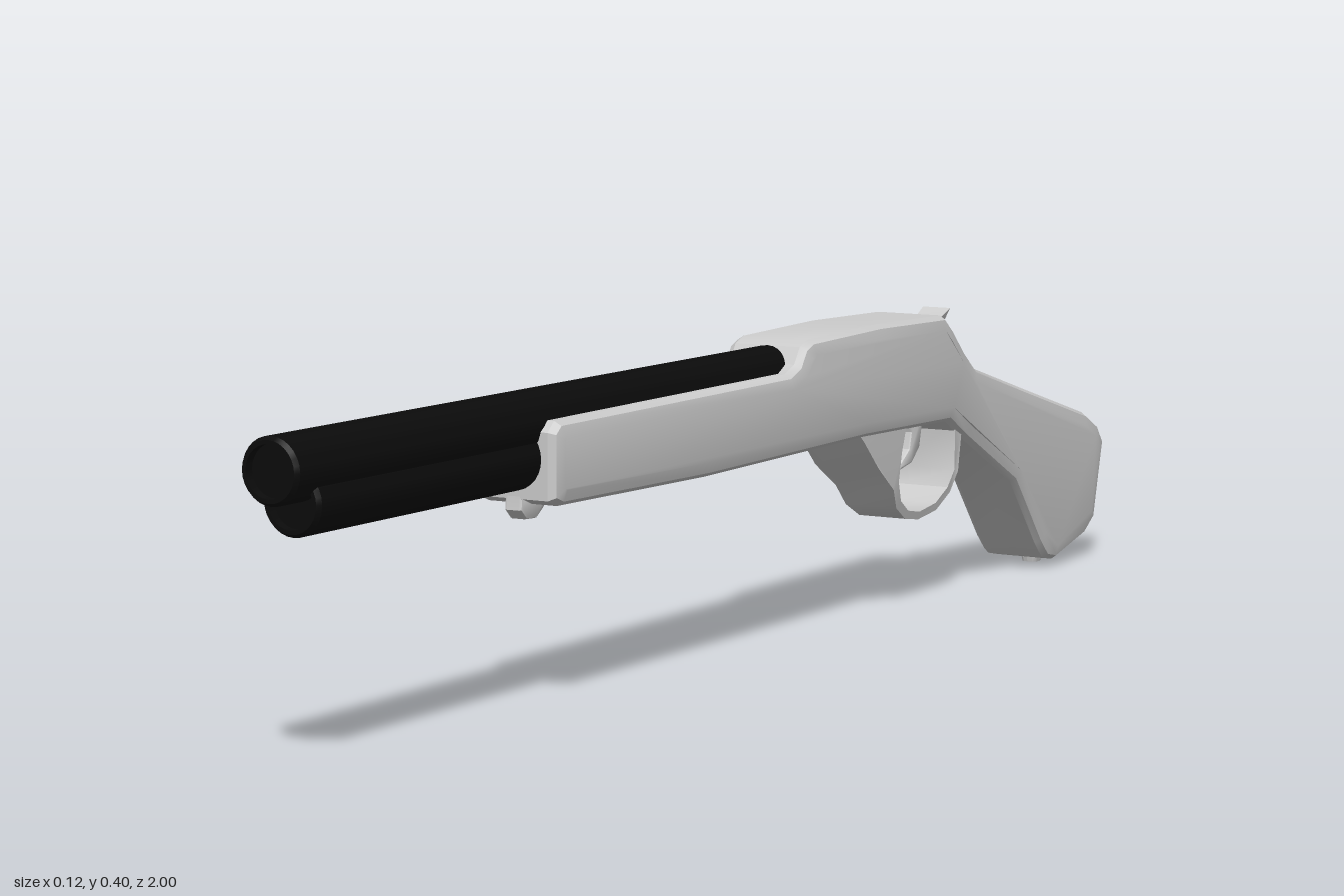
import * as THREE from 'three';
import { toCreasedNormals } from 'three/addons/utils/BufferGeometryUtils.js';

const grey = new THREE.MeshStandardMaterial({ color: 0xcccccc });
const black = new THREE.MeshStandardMaterial({ color: 0x0b0b0b });

const lerp = THREE.MathUtils.lerp;

// Side profile given as [z, y] points, extruded across x to the given half width.
function sideExtrude(points, halfWidth, bevelX = 0, bevelSize = 0, widthRule = null) {
  const shape = new THREE.Shape(points.map(([z, y]) => new THREE.Vector2(z, y)));
  const depth = 2 * (halfWidth - bevelX);
  const geo = new THREE.ExtrudeGeometry(shape, {
    depth,
    bevelEnabled: bevelX > 0,
    bevelThickness: bevelX,
    bevelSize,
    bevelOffset: -bevelSize,
    bevelSegments: 2,
  });
  geo.translate(0, 0, -depth / 2);
  geo.rotateY(-Math.PI / 2);
  if (widthRule) {
    const p = geo.attributes.position;
    for (let i = 0; i < p.count; i++) p.setX(i, p.getX(i) * widthRule(p.getY(i), p.getZ(i)));
  }
  return toCreasedNormals(geo, 0.5);
}

function part(name, geometry, material = grey) {
  const mesh = new THREE.Mesh(geometry, material);
  mesh.name = name;
  return mesh;
}

// Barrel tube with a shallow recessed muzzle, running along z.
function barrel(name, y, zBack, zFront) {
  const r = 0.04;
  const len = zFront - zBack;
  const profile = [
    [0, 0], [r, 0], [r, len - 0.006], [r - 0.004, len],
    [r - 0.009, len], [r - 0.009, len - 0.012], [0, len - 0.012],
  ].map(([x, h]) => new THREE.Vector2(x, h));
  const geo = new THREE.LatheGeometry(profile, 28);
  geo.rotateX(Math.PI / 2);
  geo.translate(0, y, zBack);
  return part(name, toCreasedNormals(geo, 0.5), black);
}

export function createModel() {
  const model = new THREE.Group();
  model.name = 'shortGun';

  // One-piece fore-end, receiver and grip; the grip is slightly slimmer
  const body = [
    [0.51, 0.262], [0.51, 0.345], [0.495, 0.358], [-0.055, 0.36],
    [-0.08, 0.37], [-0.095, 0.392], [-0.115, 0.4], [-0.3, 0.404], [-0.485, 0.4],
    [-0.51, 0.38], [-0.55, 0.345], [-0.59, 0.316], [-0.75, 0.27], [-0.94, 0.216],
    [-0.98, 0.195], [-1.0, 0.168], [-0.972, 0.055], [-0.94, 0.033],
    [-0.845, 0.009], [-0.815, 0.015], [-0.79, 0.04], [-0.71, 0.14],
    [-0.556, 0.22], [-0.5, 0.25], [-0.26, 0.254], [0.15, 0.249], [0.49, 0.254],
  ].reverse();
  const slim = (y, z) => lerp(1, 0.9, THREE.MathUtils.smoothstep(-z, 0.49, 0.6));
  model.add(part('body', sideExtrude(body, 0.062, 0.013, 0.02, slim)));

  // Over-and-under tubes
  model.add(barrel('upperBarrel', 0.352, -0.12, 1.0));
  model.add(barrel('lowerBarrel', 0.312, 0.3, 0.96));

  // Broad trigger guard with a wedge-shaped front web, narrowing downward
  const guard = [
    [-0.25, 0.262], [-0.27, 0.245], [-0.31, 0.205], [-0.36, 0.17], [-0.378, 0.142],
    [-0.41, 0.123], [-0.45, 0.117], [-0.5, 0.124], [-0.533, 0.146],
    [-0.546, 0.175], [-0.55, 0.235], [-0.53, 0.245], [-0.534, 0.178],
    [-0.523, 0.154], [-0.495, 0.135], [-0.45, 0.128], [-0.415, 0.134],
    [-0.388, 0.151], [-0.371, 0.18], [-0.375, 0.22], [-0.39, 0.262],
  ].reverse();
  const taper = (y) => THREE.MathUtils.clamp(0.7 + (y - 0.117) * 4, 0.7, 1);
  model.add(part('triggerGuard', sideExtrude(guard, 0.05, 0, 0, taper)));

  // Curved trigger
  const trigger = [
    [-0.465, 0.265], [-0.474, 0.235], [-0.468, 0.212], [-0.44, 0.192],
    [-0.438, 0.185], [-0.475, 0.192], [-0.497, 0.212], [-0.51, 0.265],
  ];
  model.add(part('trigger', sideExtrude(trigger.reverse(), 0.012, 0.003, 0.003)));

  // Hammer with a swept-back spur, flanked by low cheeks
  const hammer = [
    [-0.49, 0.36], [-0.508, 0.382], [-0.525, 0.386], [-0.545, 0.392], [-0.566, 0.402],
    [-0.558, 0.388], [-0.548, 0.37], [-0.556, 0.355], [-0.565, 0.32], [-0.51, 0.32],
  ];
  const spurWidth = (y) => lerp(0.75, 1.35, THREE.MathUtils.smoothstep(y, 0.37, 0.4));
  model.add(part('hammer', sideExtrude(hammer, 0.016, 0, 0, spurWidth)));
  const cheek = [[-0.5, 0.37], [-0.512, 0.385], [-0.565, 0.36], [-0.595, 0.318], [-0.56, 0.31]];
  for (const side of [-1, 1]) {
    const mesh = part(side > 0 ? 'leftHammerCheek' : 'rightHammerCheek', sideExtrude(cheek, 0.005));
    mesh.position.x = side * 0.026;
    model.add(mesh);
  }

  // Small lug under the fore-end tip
  const lug = [
    [0.51, 0.265], [0.512, 0.248], [0.5, 0.236], [0.478, 0.235], [0.462, 0.246], [0.45, 0.265],
  ].reverse();
  model.add(part('foreEndLug', sideExtrude(lug, 0.013, 0.004, 0.004)));

  // Sling stud at the grip heel
  const stud = new THREE.CylinderGeometry(0.018, 0.013, 0.02, 12);
  stud.translate(0, 0.01, -0.868);
  model.add(part('slingStud', toCreasedNormals(stud, 0.6)));

  return model;
}
